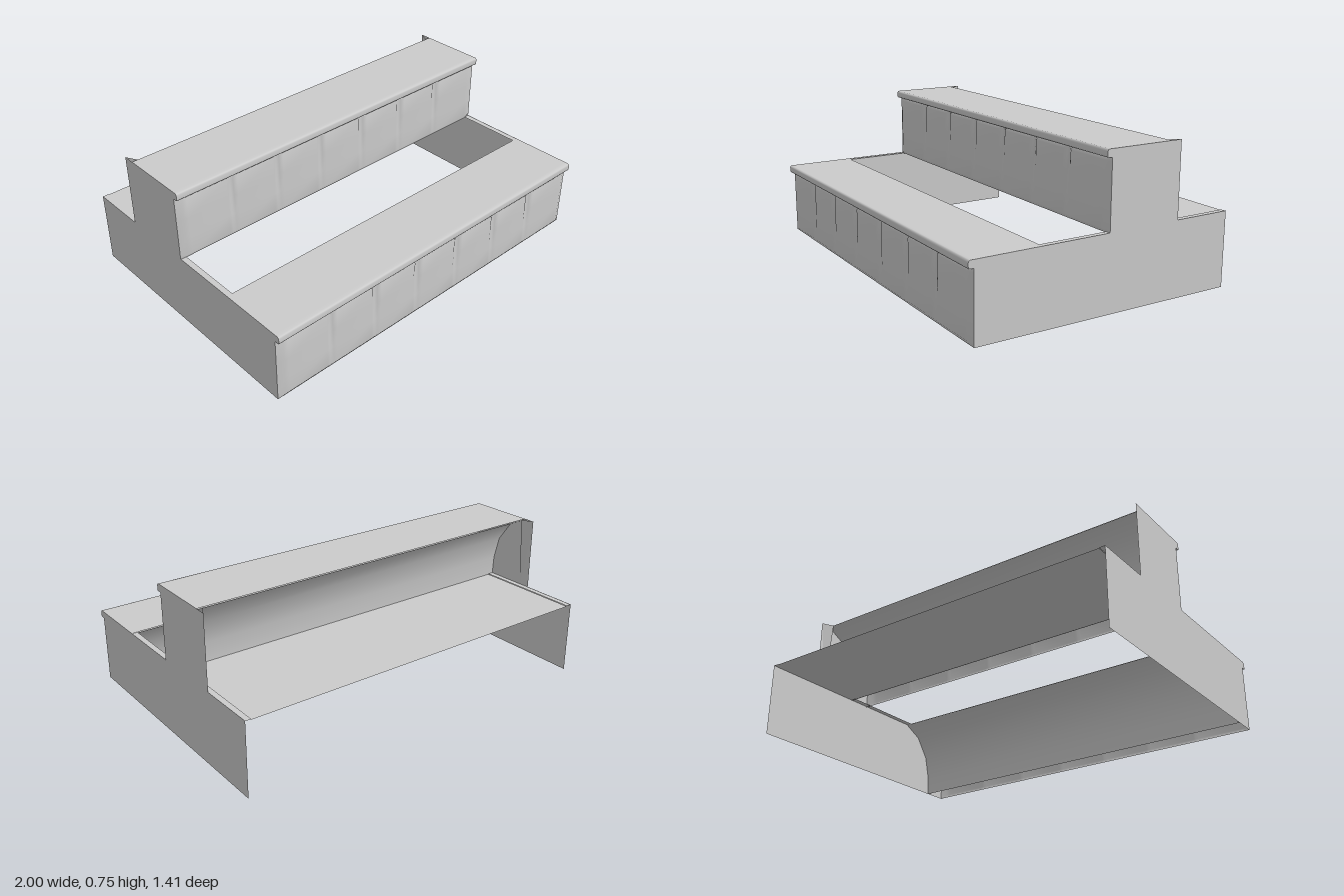
import * as THREE from 'three';

const W = 1; // half width
const TREAD_BACK = 0.348;
const LINING_FOOT = 0.56;
const UPPER_OFFSET = [0, 0.375, -0.69];
const material = new THREE.MeshStandardMaterial({ color: 0xcccccc, side: THREE.DoubleSide });

// Nosing outline as [z, y], from under the lip up to the flat top
const nosing = [[0.682, 0.342], [0.706, 0.343], [0.708, 0.347], [0.708, 0.37],
  [0.705, 0.377], [0.698, 0.38], [0.682, 0.38]];

// Smooth grid surface through point(u, v); u runs right and v runs up when seen from outside
function sheet(name, us, vs, point) {
  const positions = [], index = [];
  for (const v of vs) for (const u of us) positions.push(...point(u, v));
  const n = us.length;
  for (let j = 0; j < vs.length - 1; j++) {
    for (let i = 0; i < n - 1; i++) {
      const a = j * n + i;
      index.push(a, a + 1, a + n + 1, a, a + n + 1, a + n);
    }
  }
  const geometry = new THREE.BufferGeometry();
  geometry.setAttribute('position', new THREE.Float32BufferAttribute(positions, 3));
  geometry.setIndex(index);
  geometry.computeVertexNormals();
  const mesh = new THREE.Mesh(geometry, material);
  mesh.name = name;
  return mesh;
}

// Front riser: bevelled rim and seven panels parted by grooves that fade downwards
function riser() {
  const seams = [-0.69, -0.415, -0.14, 0.14, 0.415, 0.69];
  const xs = [-W, -0.965, -0.94];
  for (const s of seams) xs.push(s - 0.03, s - 0.012, s, s + 0.012, s + 0.03);
  xs.push(0.94, 0.965, W);
  const ys = [0, 0.02, 0.12, 0.22, 0.325, 0.345];
  return sheet('riser', xs, ys, (x, y) => {
    const rim = Math.abs(x) === W || y === 0 || y === 0.345;
    const away = Math.min(...seams.map((s) => Math.abs(x - s)));
    const groove = 0.022 * Math.max(0, 1 - away / 0.03) * (y / 0.345);
    return [x, y, rim ? 0.682 : 0.695 - groove];
  });
}

// Tread with its rounded nosing
function tread() {
  return sheet('tread', [-W, W], [...nosing, [TREAD_BACK, 0.38]], (x, [z, y]) => [x, y, z]);
}

// Curved lining behind the riser, from the back of the tread down to its foot
function lining() {
  const profile = [[TREAD_BACK, 0.376], [0.45, 0.325], [0.525, 0.22], [0.555, 0.1], [LINING_FOOT, 0]];
  return sheet('riserLining', [-W, -0.97, -0.75, 0.75, 0.97, W], profile, (x, [z, y]) => [x, y, z]);
}

// Upright side sheet that also closes the end of the nosing
function sideWall(side, zBack) {
  const outline = [[zBack, 0], [0.682, 0], ...nosing, [zBack, 0.38]];
  const shape = new THREE.Shape(outline.map(([z, y]) => new THREE.Vector2(-side * z, y)));
  const geometry = new THREE.ShapeGeometry(shape).rotateY(side * Math.PI / 2);
  const mesh = new THREE.Mesh(geometry, material);
  mesh.name = side > 0 ? 'leftSideWall' : 'rightSideWall';
  mesh.position.x = side * W;
  return mesh;
}

// Narrow flange turned inwards along the top of a lower side wall
function sideFlange(side, zBack) {
  const xs = side > 0 ? [0.97, W] : [-W, -0.97];
  return sheet('sideFlange', xs, [TREAD_BACK, zBack], (x, z) => [x, 0.379, z]);
}

// Slanted gusset closing the rear top corner of an upper side wall
function gusset(side, zBack) {
  const corners = [
    new THREE.Vector3(side * 0.97, 0.38, TREAD_BACK),
    new THREE.Vector3(side * W, 0.38, zBack),
    new THREE.Vector3(side * W, 0.005, TREAD_BACK),
  ];
  if (side > 0) corners.reverse();
  const geometry = new THREE.BufferGeometry().setFromPoints(corners);
  geometry.computeVertexNormals();
  const mesh = new THREE.Mesh(geometry, material);
  mesh.name = 'gusset';
  return mesh;
}

// One step; the side walls run back to zBack
function step(name, zBack) {
  const group = new THREE.Group();
  group.name = name;
  group.add(riser(), tread(), lining());
  for (const side of [-1, 1]) group.add(sideWall(side, zBack));
  return group;
}

export function createModel() {
  const model = new THREE.Group();
  model.name = 'twoStepRiser';

  const lowerBack = -0.702, upperBack = 0.29;
  const lower = step('lowerStep', lowerBack);
  const upper = step('upperStep', upperBack);
  upper.position.set(...UPPER_OFFSET);
  for (const side of [-1, 1]) {
    lower.add(sideFlange(side, lowerBack));
    upper.add(gusset(side, upperBack));
  }

  // Shelf running back from the foot of the upper lining
  const shelfFront = LINING_FOOT + UPPER_OFFSET[2];
  lower.add(sheet('rearShelf', [-0.97, 0.97], [shelfFront, lowerBack], (x, z) => [x, 0.376, z]));

  model.add(lower, upper);
  return model;
}
